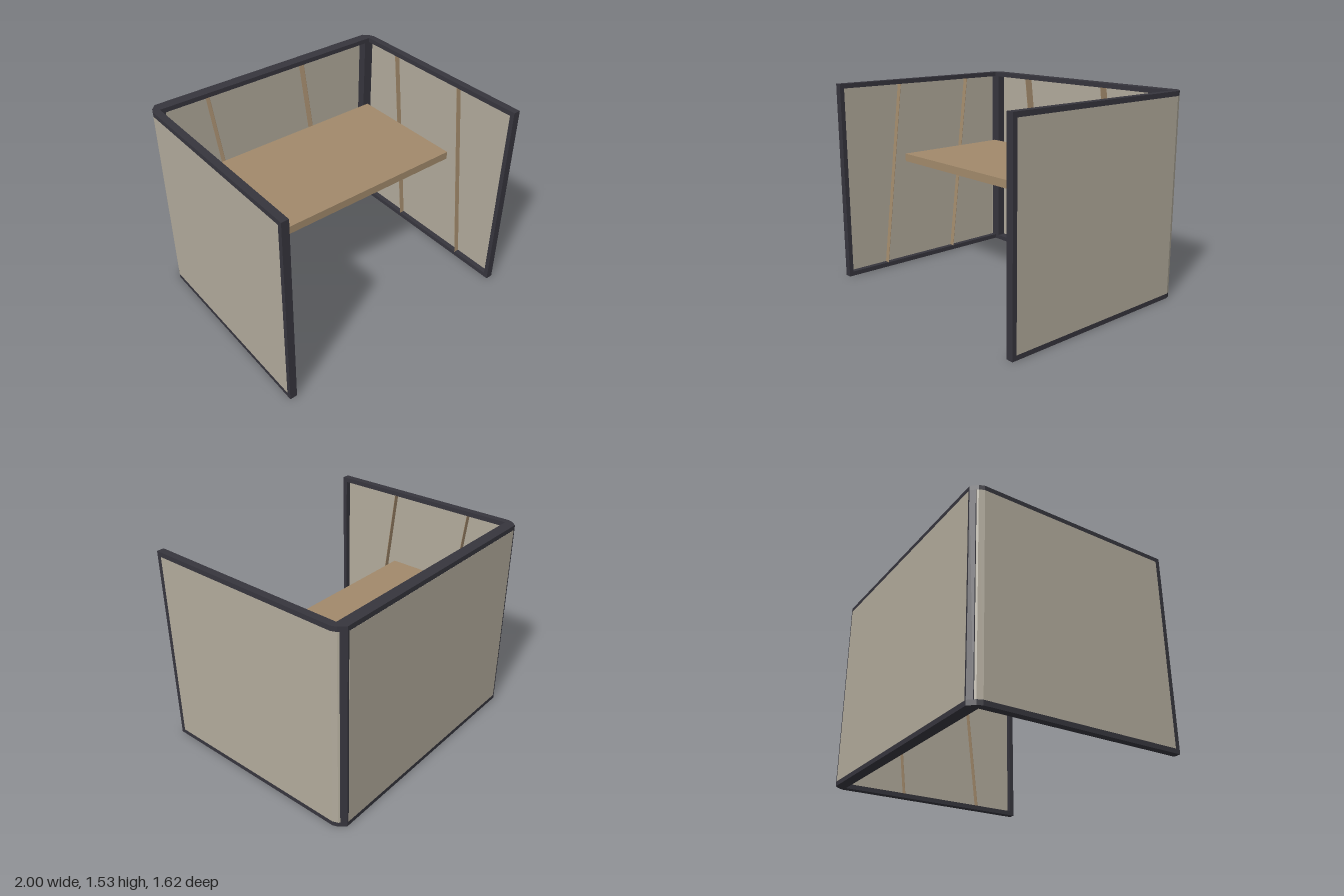
import * as THREE from 'three';

const frameMat = new THREE.MeshStandardMaterial({ color: 0x36353d });
frameMat.name = 'charcoal frame';
const panelMat = new THREE.MeshStandardMaterial({ color: 0xb1aa9b });
panelMat.name = 'beige panel';
const woodMat = new THREE.MeshStandardMaterial({ color: 0xa1896b });
woodMat.name = 'wood';

const H = 1.535;      // overall height
const RAIL = 0.035;   // rail height
const INNER = H - 2 * RAIL;

export function createModel() {
  const model = new THREE.Group();
  model.name = 'boothDesk';

  const add = (name, geo, mat) => {
    const mesh = new THREE.Mesh(geo, mat);
    mesh.name = name;
    model.add(mesh);
    return mesh;
  };

  // box given by its min and max corners
  const box = (name, mat, x0, x1, y0, y1, z0, z1) =>
    add(name, new THREE.BoxGeometry(x1 - x0, y1 - y0, z1 - z0), mat)
      .position.set((x0 + x1) / 2, (y0 + y1) / 2, (z0 + z1) / 2);

  // upright prism from a plan outline of [x, z] points
  const prism = (name, mat, plan, y0, y1) => {
    const shape = new THREE.Shape(plan.map(([x, z]) => new THREE.Vector2(x, z)));
    const geo = new THREE.ExtrudeGeometry(shape, { depth: y1 - y0, bevelEnabled: false });
    geo.rotateX(Math.PI / 2).translate(0, y1, 0);
    add(name, geo, mat);
  };

  // top and bottom rails follow the U-shaped plan with chamfered back corners
  const half = [[0.945, -0.73], [0.945, 0.81], [1, 0.81], [1, -0.73], [0.985, -0.768], [0.943, -0.813]];
  const uPlan = [...half, ...half.map(([x, z]) => [-x, z]).reverse()];
  prism('bottomRail', frameMat, uPlan, 0, RAIL);
  prism('topRail', frameMat, uPlan, H - RAIL, H);

  for (const s of [1, -1]) {
    const side = s > 0 ? 'left' : 'right';
    const mirror = (plan) => plan.map(([x, z]) => [s * x, z]);
    const span = (a, b) => (s > 0 ? [a, b] : [-b, -a]);

    // corner post and front post
    prism(side + 'CornerPost', frameMat, mirror([
      [0.905, -0.73], [0.984, -0.73], [0.972, -0.782], [0.943, -0.813], [0.905, -0.813],
    ]), RAIL, H - RAIL);
    box(side + 'FrontPost', frameMat, ...span(0.945, 1), RAIL, H - RAIL, 0.776, 0.81);

    // side panel, wrapping round the chamfer
    prism(side + 'Panel', panelMat, mirror([
      [0.986, 0.776], [1, 0.776], [1, -0.73], [0.985, -0.768], [0.975, -0.778], [0.97, -0.76], [0.986, -0.725],
    ]), RAIL, H - RAIL);

    // leaning braces inside the side wall
    for (const z of [0.355, -0.32]) {
      const brace = add(side + 'Brace', new THREE.BoxGeometry(0.042, INNER + 0.02, 0.003), woodMat);
      brace.position.set(s * 0.966, H / 2, z);
      brace.rotation.x = -0.12;
    }
  }

  // back panel, flush with the outside of the frame
  box('backPanel', panelMat, -0.93, 0.93, RAIL, H - RAIL, -0.814, -0.8);

  // leaning braces inside the back wall
  for (const x of [-0.46, 0.38]) {
    const brace = add('backBrace', new THREE.BoxGeometry(0.003, INNER + 0.02, 0.068), woodMat);
    brace.position.set(x, H / 2, -0.766);
    brace.rotation.z = 0.13;
  }

  // desk top
  box('deskTop', woodMat, -0.942, 0.942, 0.868, 0.93, -0.72, 0.245);

  return model;
}
